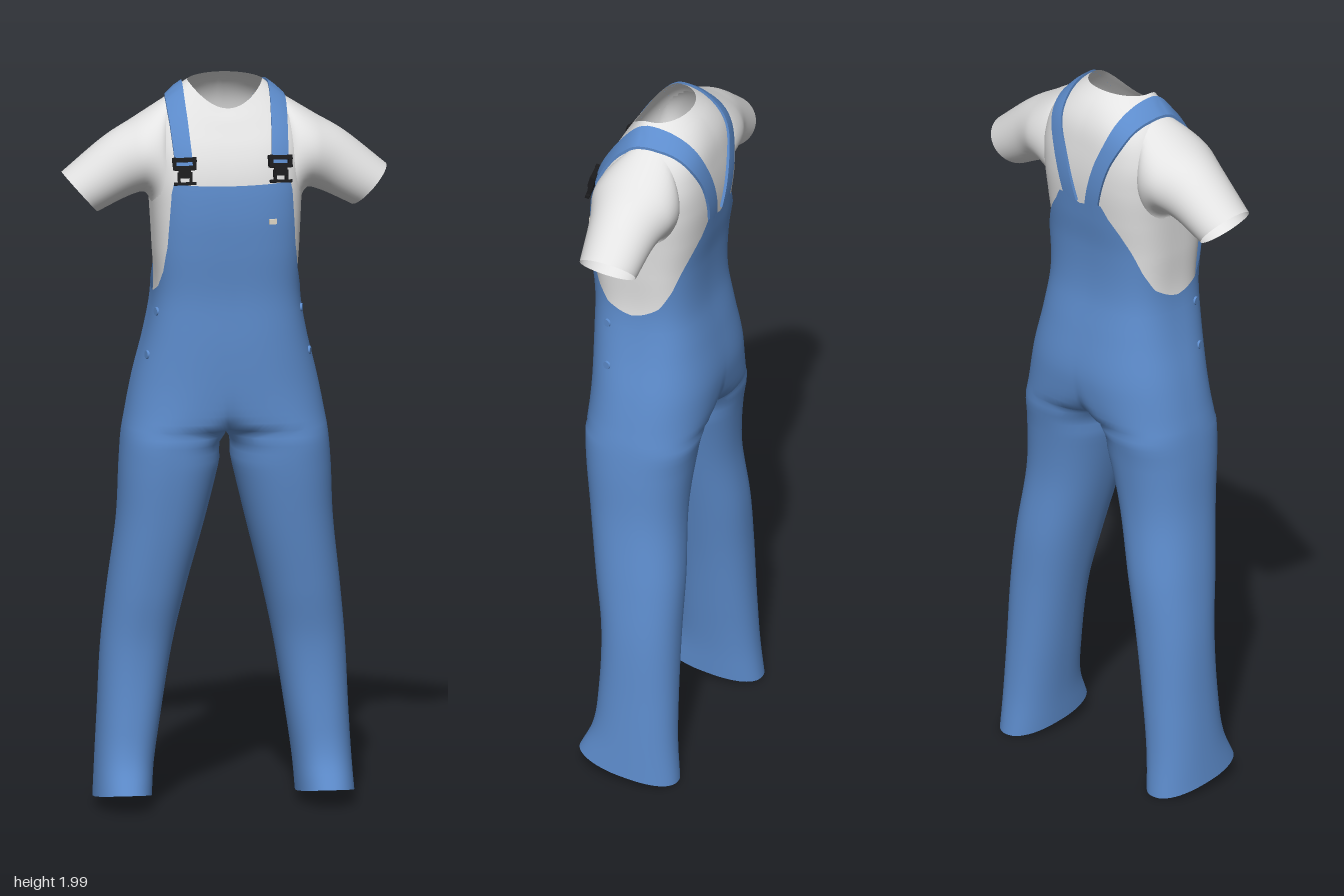
import * as THREE from 'three';
import { mergeGeometries, mergeVertices, toCreasedNormals } from 'three/addons/utils/BufferGeometryUtils.js';

const { lerp, smoothstep, degToRad } = THREE.MathUtils;

function material(name, color, side = THREE.FrontSide) {
  const m = new THREE.MeshStandardMaterial({ color, side });
  m.name = name;
  return m;
}

// Smooth or straight lookup in a table whose rows are [key, ...values]
function lookup(table, Kind = THREE.CubicInterpolant) {
  const size = table[0].length - 1;
  const interpolant = new Kind(table.map(r => r[0]), table.flatMap(r => r.slice(1)), size, new Float32Array(size));
  return key => Array.from(interpolant.evaluate(key));
}

// Body sections: height, inner x, outer x, front z, back z, roundness.
// A negative inner x means the two halves have joined above the crotch.
const CROTCH = 1.03;
const section = lookup([
  [0.03, 0.198, 0.352, 0.120, -0.165, 0.90],
  [0.12, 0.190, 0.347, 0.085, -0.155, 0.90],
  [0.25, 0.171, 0.340, 0.070, -0.150, 0.90],
  [0.45, 0.138, 0.330, 0.070, -0.148, 0.90],
  [0.60, 0.105, 0.315, 0.095, -0.148, 0.90],
  [0.80, 0.054, 0.292, 0.127, -0.137, 0.90],
  [0.95, 0.018, 0.285, 0.147, -0.150, 0.88],
  [CROTCH, 0, 0.278, 0.152, -0.164, 0.86],
  [1.05, -0.04, 0.275, 0.154, -0.167, 0.86],
  [1.08, -0.09, 0.269, 0.156, -0.172, 0.85],
  [1.12, -0.14, 0.261, 0.157, -0.176, 0.83],
  [1.18, -0.19, 0.247, 0.158, -0.178, 0.80],
  [1.30, -0.215, 0.215, 0.158, -0.160, 0.72],
  [1.42, -0.195, 0.195, 0.156, -0.140, 0.66],
  [1.55, -0.20, 0.200, 0.166, -0.142, 0.65],
  [1.65, -0.205, 0.205, 0.170, -0.156, 0.65],
  [1.75, -0.21, 0.210, 0.162, -0.166, 0.65],
  [1.83, -0.205, 0.205, 0.138, -0.162, 0.65],
  [1.89, -0.182, 0.182, 0.115, -0.148, 0.75],
  [1.93, -0.145, 0.145, 0.098, -0.120, 0.90],
  [1.96, -0.105, 0.105, 0.080, -0.085, 1.00],
]);

const signedPow = (v, e) => Math.sign(v) * Math.abs(v) ** e;

// Point on the left half of the body; u runs from front centre round the side to back centre
function bodyPoint(y, u, cover = 0) {
  const [inner, outer, front, back, e] = section(y);
  const offset = cover * smoothstep(y, 1.06, 1.3);
  const cx = y > 1.3 ? 0 : Math.max(0, (inner + outer) / 2);
  const rx = outer - cx + offset;
  const joined = inner < 1e-5;
  const start = joined ? Math.acos(Math.min(1, cx / rx) ** (1 / e)) : 0;
  const a = lerp(start, 2 * Math.PI - start, u);
  const s = Math.sin(a), c = Math.cos(a);
  const x = joined && (u === 0 || u === 1) ? 0 : Math.max(0, cx - rx * signedPow(c, e));
  const z = (front + back) / 2 + ((front - back) / 2 + offset) * signedPow(s, e);
  const neck = smoothstep(y, 1.78, 1.96) * (0.03 * c * c - 0.035 * s * Math.abs(s));
  const hem = 0.03 * s * Math.max(0, 1 - y / 0.2);
  return new THREE.Vector3(x, y + neck + hem, z);
}

// Grid surface from fn(u, v): u across, v along; cells where skip(u, v) is true stay open
function surface(cols, rows, fn, skip = () => false) {
  const positions = [], index = [];
  for (let i = 0; i <= rows; i++)
    for (let j = 0; j <= cols; j++) {
      positions.push(...fn(j / cols, i / rows).toArray());
      if (i < rows && j < cols && !skip((j + 0.5) / cols, (i + 0.5) / rows)) {
        const a = i * (cols + 1) + j, d = a + cols + 1;
        index.push(a, a + 1, d + 1, a, d + 1, d);
      }
    }
  const g = new THREE.BufferGeometry();
  g.setAttribute('position', new THREE.Float32BufferAttribute(positions, 3));
  g.setIndex(index);
  return g;
}

// Add the mirrored half and weld the centre seam
function mirrored(half) {
  const other = half.clone().scale(-1, 1, 1);
  other.setIndex(Array.from(half.index.array).reverse());
  const g = mergeVertices(mergeGeometries([half, other]), 1e-5);
  g.computeVertexNormals();
  return g;
}

export function createModel() {
  const model = new THREE.Group();
  const denim = material('blue denim', 0x5d8ccc, THREE.DoubleSide);
  const cotton = material('light grey cotton', 0xe3e3e3, THREE.DoubleSide);
  const black = material('black plastic', 0x1b1b1d);
  const cream = material('cream tag', 0xe4dccb);

  const add = (name, geometry, mat, parent = model) => {
    const mesh = new THREE.Mesh(geometry, mat);
    mesh.name = name;
    parent.add(mesh);
    return mesh;
  };

  // Shirt body with an oval armhole on each side
  const armhole = { y: 1.79, height: 0.13, u: 0.5, width: 0.22 };
  const shirtY = v => lerp(1.34, 1.96, v);
  const shirt = add('shirtBody', mirrored(surface(60, 60,
    (u, v) => bodyPoint(shirtY(v), u, -0.004),
    (u, v) => Math.hypot((shirtY(v) - armhole.y) / armhole.height, (u - armhole.u) / armhole.width) < 0.86,
  )), cotton);

  // Sleeves grow out of the armholes: ring number, top x, top y, bottom x, bottom y, half depth
  const sleeveRing = lookup([
    [0, 0.19, 1.922, 0.20, 1.68, 0.130],
    [1, 0.25, 1.885, 0.225, 1.69, 0.117],
    [2, 0.33, 1.836, 0.27, 1.675, 0.095],
    [3, 0.44, 1.745, 0.345, 1.638, 0.080],
  ]);
  const sleeves = add('sleeves', mirrored(surface(48, 28, (u, v) => {
    const [tx, ty, bx, by, depth] = sleeveRing(v * 3);
    const a = u * 2 * Math.PI, s = Math.sin(a), c = Math.cos(a), t = (1 + c) / 2;
    const ring = new THREE.Vector3(lerp(bx, tx, t), lerp(by, ty, t), -0.01 + depth * s);
    const root = bodyPoint(armhole.y + armhole.height * c, armhole.u - armhole.width * s, -0.004);
    return root.lerp(ring, 1 - (1 - Math.min(1, v * 2.8)) ** 2);
  })), cotton);

  // Overalls: top edge height by degrees from front centre to back centre
  const topEdge = lookup([
    [0, 1.73], [39, 1.735], [42, 1.71], [51, 1.56], [60, 1.49], [72, 1.445], [90, 1.42],
    [112, 1.455], [128, 1.51], [141, 1.575], [152, 1.625], [162, 1.665], [168, 1.70], [175, 1.70], [180, 1.685],
  ], THREE.LinearInterpolant);
  add('overalls', mirrored(surface(60, 80, (u, v) => {
    const y = v <= 0.55 ? lerp(0.03, CROTCH, v / 0.55)
      : v <= 0.75 ? lerp(CROTCH, 1.38, (v - 0.55) / 0.2)
      : lerp(1.38, topEdge(u * 180)[0], (v - 0.75) * 4);
    return bodyPoint(y, u, 0.004);
  })), denim);

  // Straps laid over the shoulders: degrees from front over the top, strap centre x
  const strapX = lookup([[0, 0.13], [45, 0.136], [90, 0.138], [135, 0.113], [165, 0.078], [212, 0.038]]);
  const ray = new THREE.Raycaster();
  const profile = [[-0.023, 0], [-0.023, 0.008], [0, 0.009], [0.023, 0.008], [0.023, 0]];
  const strap = surface(4, 48, (u, v) => {
    const deg = lerp(0, 212, v), a = degToRad(deg);
    const [dx, lift] = profile[Math.round(u * 4)];
    const out = new THREE.Vector3(0, Math.sin(a), Math.cos(a));
    const from = new THREE.Vector3(strapX(deg)[0] + dx, 1.78, -0.01).addScaledVector(out, 0.6);
    ray.set(from, out.clone().negate());
    const hit = ray.intersectObjects([shirt, sleeves])[0];
    return from.addScaledVector(out, lift - (hit ? hit.distance : 0.45));
  });
  add('straps', toCreasedNormals(mirrored(strap), 0.7), denim);

  for (const side of [-1, 1]) {
    // Clasp joining strap and bib
    const clasp = new THREE.Group();
    clasp.name = side > 0 ? 'leftClasp' : 'rightClasp';
    clasp.position.set(side * 0.13, 1.768, 0.153);
    clasp.rotation.set(-0.25, side * 0.15, 0);
    const block = (name, w, h, d, x, y) =>
      add(name, new THREE.BoxGeometry(w, h, d), black, clasp).position.set(x, y, 0);
    block('claspTopBar', 0.066, 0.012, 0.014, 0, 0.034);
    block('claspMiddleBar', 0.056, 0.012, 0.014, 0, 0.012);
    block('claspBody', 0.034, 0.03, 0.012, 0, 0);
    for (const s of [-1, 1]) {
      block('claspEnd', 0.010, 0.034, 0.016, s * 0.027, 0.024);
      block('claspProng', 0.008, 0.034, 0.010, s * 0.016, -0.016);
    }
    block('claspBottomBar', 0.06, 0.008, 0.012, 0, -0.03);
    model.add(clasp);

    // Hip buttons
    for (const y of [1.375, 1.255]) {
      const button = add('hipButton', new THREE.CylinderGeometry(0.011, 0.012, 0.006, 16), denim);
      const p = bodyPoint(y, 0.39, 0.005);
      button.position.set(side * p.x, p.y, p.z);
      button.rotation.set(0, -side * 0.3, -side * Math.PI / 2);
    }
  }

  // Small tag on the bib
  const tag = add('bibTag', new THREE.BoxGeometry(0.02, 0.014, 0.006), cream);
  tag.position.copy(bodyPoint(1.63, 0.115, 0.006));
  tag.rotation.y = 0.2;

  return model;
}
